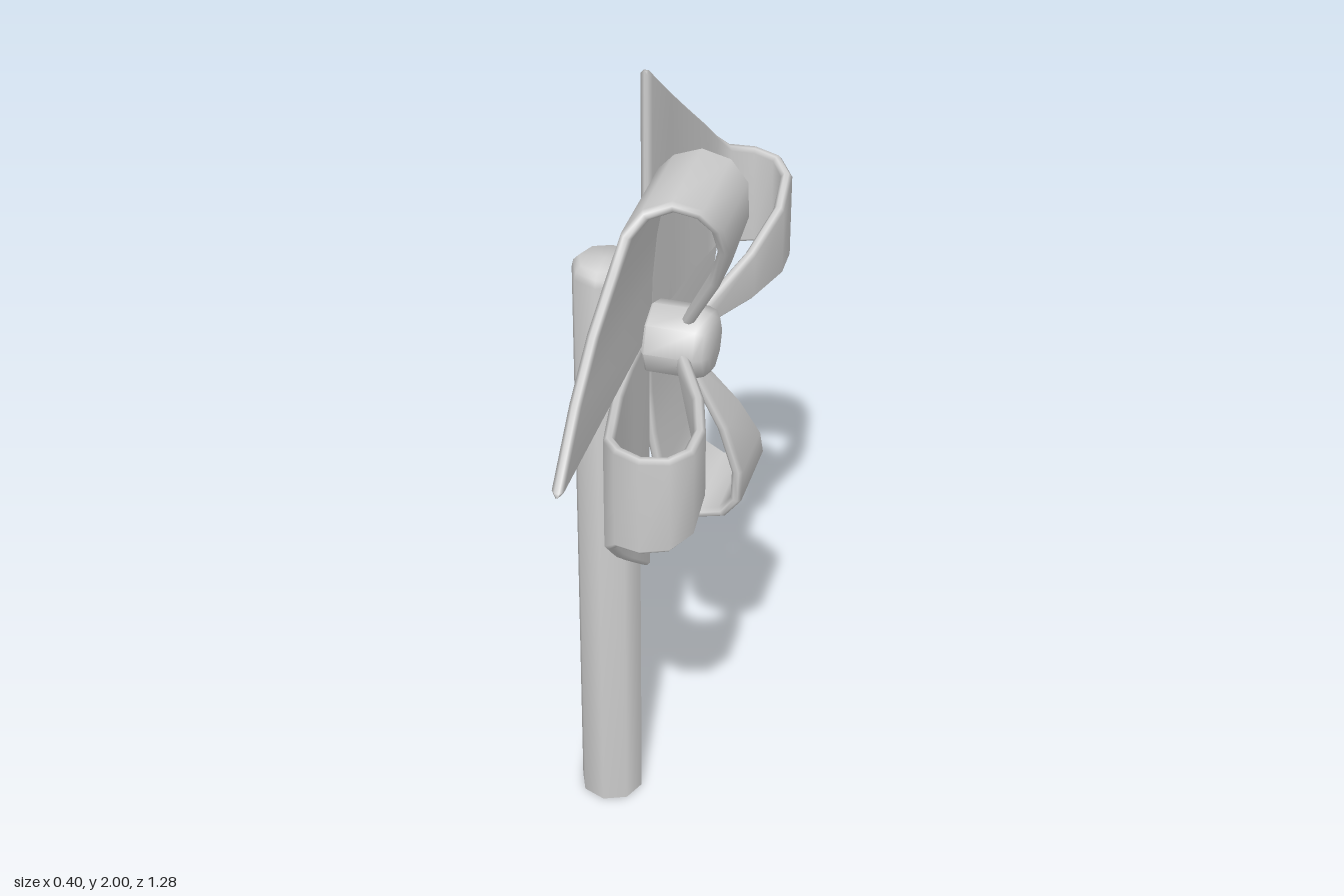
import * as THREE from 'three';
import { toCreasedNormals } from 'three/addons/utils/BufferGeometryUtils.js';

const grey = new THREE.MeshStandardMaterial({ color: 0xcccccc });
const HUB_Y = 1.355;

// One paper sail: a thin rounded strip that runs outward from the hub, curls over and returns.
// Stations: [distance from axis, forward offset, sail width, thickness factor]
const STATIONS = [
  [0.004, -0.034, 0.642, 0.4], [0.014, -0.034, 0.64, 1], [0.15, -0.03, 0.525, 1],
  [0.26, -0.02, 0.43, 1], [0.36, -0.002, 0.338, 1], [0.415, 0.008, 0.285, 1],
  [0.447, 0.037, 0.245, 1], [0.469, 0.092, 0.235, 1], [0.455, 0.147, 0.228, 1],
  [0.412, 0.18, 0.212, 1], [0.335, 0.182, 0.168, 1], [0.22, 0.147, 0.112, 1],
  [0.075, 0.074, 0.042, 1], [0.03, 0.053, 0.022, 1],
];

function sailGeometry() {
  const half = 0.013, bevel = 0.009, low = -0.009;
  const pos = [], index = [], n = 8, last = STATIONS.length - 1;
  STATIONS.forEach(([u, x, top, k], i) => {
    // normal of the curl in the plane of its profile
    const a = STATIONS[Math.max(i - 1, 0)], b = STATIONS[Math.min(i + 1, last)];
    const t = new THREE.Vector2(b[0] - a[0], b[1] - a[1]).normalize();
    const h = half * k, e = h * 0.4;
    const ring = [
      [top, -e], [top, e], [top - bevel, h], [low + bevel, h],
      [low, e], [low, -e], [low + bevel, -h], [top - bevel, -h],
    ];
    for (const [v, d] of ring) pos.push(x + t.x * d, v, -(u - t.y * d));
    if (i < last) {
      for (let j = 0; j < n; j++) {
        const p = i * n + j, q = i * n + (j + 1) % n;
        index.push(p, q, p + n, q, q + n, p + n);
      }
    }
  });
  // end caps
  for (let j = 1; j < n - 1; j++) {
    index.push(0, j + 1, j, last * n, last * n + j, last * n + j + 1);
  }
  const g = new THREE.BufferGeometry();
  g.setAttribute('position', new THREE.Float32BufferAttribute(pos, 3));
  g.setIndex(index);
  g.computeVertexNormals();
  return g;
}

// Eight-sided turned part, smooth around its bevels
function turned(profile) {
  const points = profile.map(([r, y]) => new THREE.Vector2(r, y));
  return toCreasedNormals(new THREE.LatheGeometry(points, 8), 0.9);
}

export function createModel() {
  const model = new THREE.Group();
  model.name = 'pinwheel';

  // Stick
  const stick = new THREE.Mesh(turned([
    [0, 0], [0.077, 0], [0.077, 1.5], [0.073, 1.518], [0.06, 1.532], [0, 1.535],
  ]), grey);
  stick.name = 'stick';
  stick.position.x = -0.125;
  model.add(stick);

  const wheel = new THREE.Group();
  wheel.name = 'wheel';
  wheel.position.y = HUB_Y;
  model.add(wheel);

  // Hub, its axis pointing forward along +x
  const hub = new THREE.Mesh(turned([
    [0, -0.045], [0.06, -0.04], [0.083, -0.015], [0.083, 0.095], [0.076, 0.115], [0.058, 0.126], [0, 0.128],
  ]), grey);
  hub.name = 'hub';
  hub.rotation.z = -Math.PI / 2;
  wheel.add(hub);

  // Four curled sails
  const geometry = sailGeometry();
  for (let i = 0; i < 4; i++) {
    const sail = new THREE.Mesh(geometry, grey);
    sail.name = 'sail' + (i + 1);
    sail.rotation.x = i * Math.PI / 2;
    wheel.add(sail);
  }
  return model;
}
